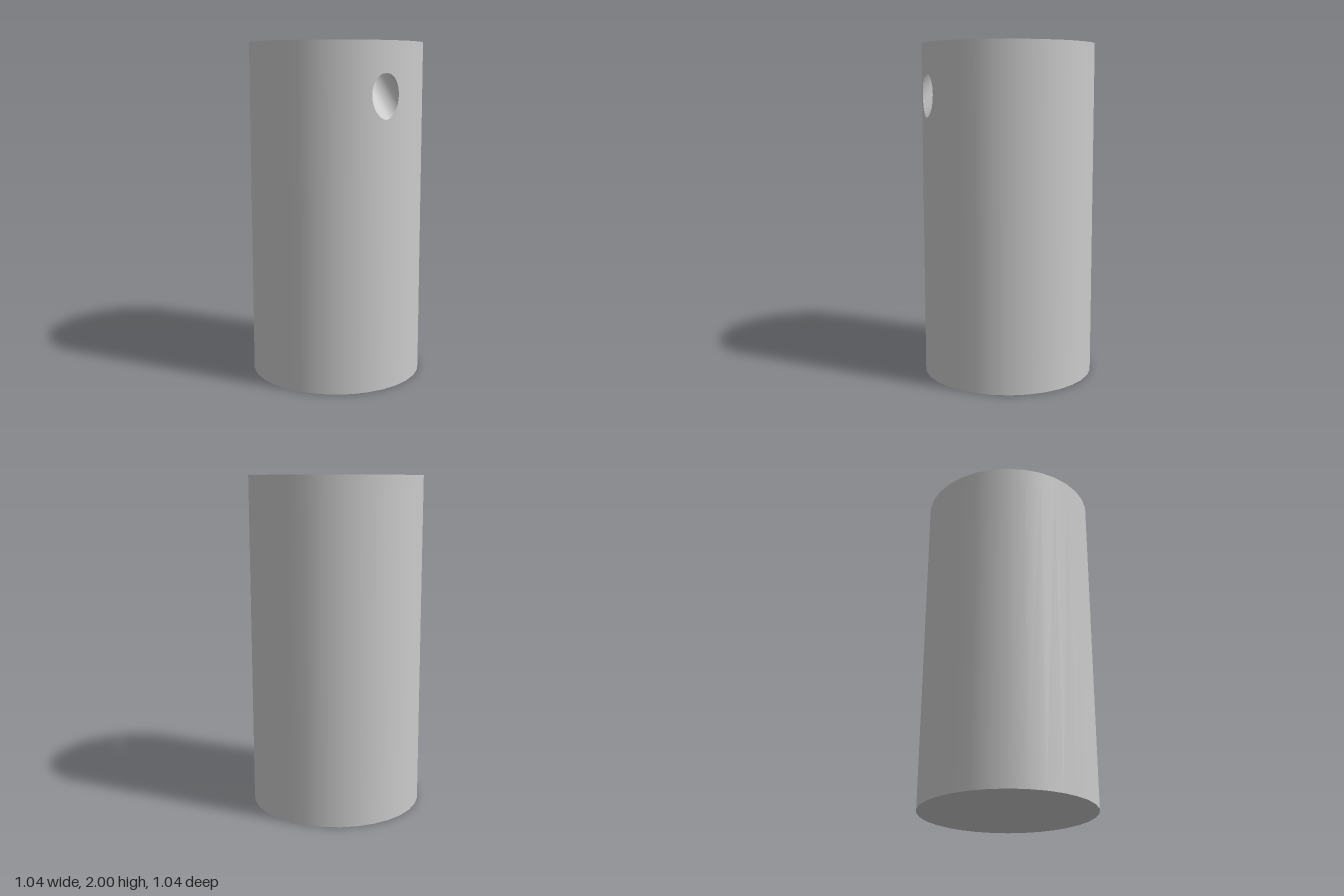
import * as THREE from 'three';

const R = 0.518, H = 2, SIDES = 32;      // cylinder body
const STEP = (Math.PI * 2) / SIDES;
const BORE = 0.09, BORE_SIDES = 32;      // hole drilled at 45 degrees
const AXIS = 2.2125;                     // bore axis lies on y + z = AXIS, x = 0

// z of the two front facets at a given x
const wallZ = (x) => R - Math.abs(x) * Math.tan(STEP / 2);

// Where the bore meets the top face and the front wall
function topPoint(a) {
  return new THREE.Vector3(BORE * Math.cos(a), H, AXIS - H + BORE * Math.SQRT2 * Math.sin(a));
}
function frontPoint(a) {
  const x = BORE * Math.cos(a), z = wallZ(x);
  return new THREE.Vector3(x, AXIS - z + BORE * Math.SQRT2 * Math.sin(a), z);
}

// Half of the front wall, with half of the bore opening cut from its inner edge
function frontPanel(side) {
  const w = R * Math.sin(STEP);
  const pts = [[0, 0], [w, 0], [w, H], [0, H]].map(([x, y]) => new THREE.Vector2(side * x, y));
  for (let i = 0; i <= BORE_SIDES / 2; i++) {
    const p = frontPoint(Math.PI / 2 - (i / BORE_SIDES) * Math.PI * 2);
    pts.push(new THREE.Vector2(side * p.x, p.y));
  }
  const geo = new THREE.ShapeGeometry(new THREE.Shape(pts));
  const pos = geo.attributes.position;
  for (let i = 0; i < pos.count; i++) {
    const x = pos.getX(i), z = wallZ(x), l = Math.hypot(x, z);
    pos.setZ(i, z);
    geo.attributes.normal.setXYZ(i, x / l, 0, z / l);
  }
  return geo;
}

// Flat top with the oval bore opening
function topFace() {
  const ring = (n, f) => Array.from({ length: n }, (_, i) => f((i / n) * Math.PI * 2));
  const shape = new THREE.Shape(ring(SIDES, (a) => new THREE.Vector2(R * Math.cos(a), R * Math.sin(a))));
  shape.holes.push(new THREE.Path(ring(BORE_SIDES, (a) => {
    const p = topPoint(a);
    return new THREE.Vector2(p.x, -p.z);
  })));
  return new THREE.ShapeGeometry(shape).rotateX(-Math.PI / 2).translate(0, H, 0);
}

// Inner wall of the bore, facing its axis
function boreWall() {
  const pos = [], nor = [], idx = [];
  for (let i = 0; i <= BORE_SIDES; i++) {
    const a = (i / BORE_SIDES) * Math.PI * 2;
    const s = -Math.sin(a) * Math.SQRT1_2;
    for (const p of [topPoint(a), frontPoint(a)]) {
      pos.push(p.x, p.y, p.z);
      nor.push(-Math.cos(a), s, s);
    }
    const k = i * 2;
    if (i < BORE_SIDES) idx.push(k, k + 1, k + 2, k + 1, k + 3, k + 2);
  }
  const geo = new THREE.BufferGeometry();
  geo.setAttribute('position', new THREE.Float32BufferAttribute(pos, 3));
  geo.setAttribute('normal', new THREE.Float32BufferAttribute(nor, 3));
  geo.setIndex(idx);
  return geo;
}

export function createModel() {
  const group = new THREE.Group();
  group.name = 'drilledCylinder';
  const material = new THREE.MeshStandardMaterial({ color: 0xcccccc });
  const add = (name, geo) => {
    const mesh = new THREE.Mesh(geo, material);
    mesh.name = name;
    group.add(mesh);
  };

  // Round wall, leaving out the two front facets pierced by the bore
  add('sideWall', new THREE.CylinderGeometry(R, R, H, SIDES - 2, 1, true, STEP, STEP * (SIDES - 2))
    .translate(0, H / 2, 0));
  add('frontWallLeft', frontPanel(1));
  add('frontWallRight', frontPanel(-1));
  add('topFace', topFace());
  add('bottomFace', new THREE.CircleGeometry(R, SIDES).rotateX(Math.PI / 2));
  add('boreWall', boreWall());
  return group;
}
